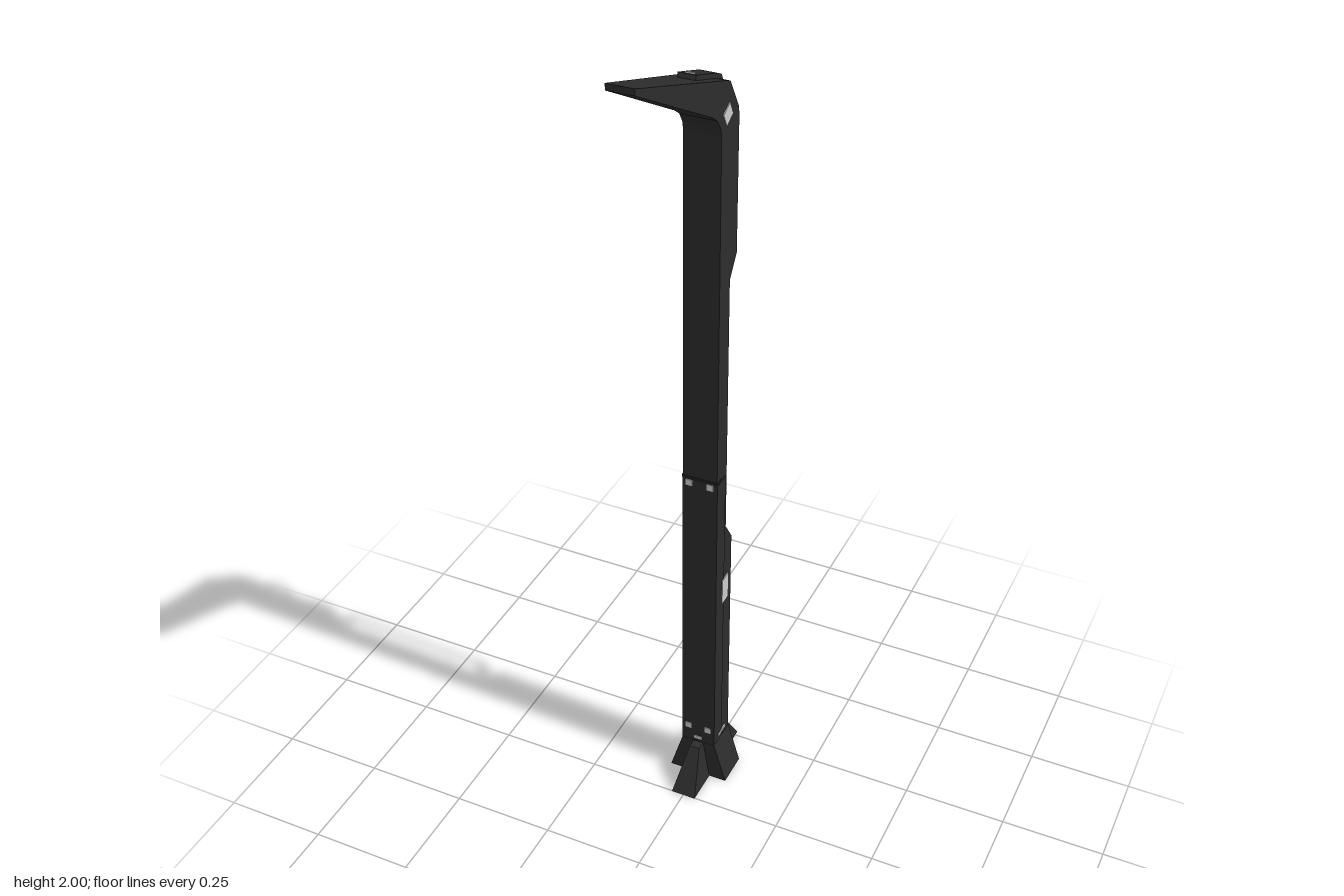
import * as THREE from 'three';

const dark = new THREE.MeshStandardMaterial({ color: 0x2c2c2c });
const strapDark = new THREE.MeshStandardMaterial({ color: 0x222222 });
const pale = new THREE.MeshStandardMaterial({ color: 0xcccccc });

export function createModel() {
  const model = new THREE.Group();
  const ZC = -0.131; // middle of the post in z

  const add = (name, geometry, material = dark) => {
    const mesh = new THREE.Mesh(geometry, material);
    mesh.name = name;
    model.add(mesh);
    return mesh;
  };

  // Side outline of [z, y] points, extruded to a width along x
  const slab = (points, width) => {
    const shape = new THREE.Shape(points.map(([z, y]) => new THREE.Vector2(z, y)));
    const g = new THREE.ExtrudeGeometry(shape, { depth: width, bevelEnabled: false });
    return g.translate(0, 0, -width / 2).rotateY(-Math.PI / 2);
  };

  // Thin strip of even thickness that follows a [z, y] path
  const ribbon = (path, thickness, width) => {
    const left = [], right = [];
    path.forEach(([z, y], i) => {
      const a = path[Math.max(i - 1, 0)], b = path[Math.min(i + 1, path.length - 1)];
      const n = new THREE.Vector2(a[1] - b[1], b[0] - a[0]).setLength(thickness / 2);
      left.push([z + n.x, y + n.y]);
      right.unshift([z - n.x, y - n.y]);
    });
    return slab([...left, ...right], width);
  };

  const box = (name, size, position, material = dark, tilt = 0) => {
    const mesh = add(name, new THREE.BoxGeometry(...size), material);
    mesh.position.set(...position);
    mesh.rotation.x = tilt;
    return mesh;
  };

  // Post, elbow and arm in one outline, with the grip recess in the back
  const body = slab([
    [-0.088, 0], [-0.088, 1.76], [-0.083, 1.78], [-0.068, 1.802], [-0.045, 1.818],
    [0.264, 1.986], [0.264, 2.0], [-0.11, 1.87], [-0.127, 1.863], [-0.172, 1.79],
    [-0.174, 1.76], [-0.174, 1.46], [-0.14, 1.41], [-0.14, 0.76], [-0.174, 0.71], [-0.174, 0],
  ], 0.084);
  const p = body.attributes.position;
  for (let i = 0; i < p.count; i++) { // the arm narrows to its tip
    const t = Math.max(0, (p.getZ(i) + 0.088) / 0.352);
    p.setX(i, p.getX(i) * (1 - 0.29 * t));
  }
  body.computeVertexNormals();
  add('postAndArm', body);

  // Slightly thicker lower sleeve
  box('lowerSleeve', [0.087, 0.8, 0.045], [0, 0.51, -0.109]);
  box('sleeveSeam', [0.09, 0.006, 0.02], [0, 0.913, -0.097], strapDark);

  // Raised spine over the elbow
  add('spine', ribbon([[-0.176, 1.71], [-0.176, 1.79], [-0.129, 1.867], [-0.11, 1.875], [-0.014, 1.908]], 0.012, 0.039));

  // Grip bar standing off the recess
  add('gripBar', ribbon([
    [-0.143, 0.73], [-0.152, 0.76], [-0.154, 0.815], [-0.178, 0.838],
    [-0.178, 1.338], [-0.154, 1.362], [-0.154, 1.42], [-0.165, 1.45],
  ], 0.011, 0.026));
  for (let i = 0; i < 5; i++) {
    box('gripPad', [0.042, 0.06, 0.012], [0, 0.882 + i * 0.1065, -0.179]);
    if (i < 4) box('gripMarker', [0.024, 0.018, 0.013], [0, 0.935 + i * 0.1065, -0.1785], pale);
  }
  box('gripFoot', [0.05, 0.03, 0.012], [0, 0.725, -0.169]);

  // Thin bent strap on the upper back
  add('strap', ribbon([
    [-0.174, 1.688], [-0.196, 1.688], [-0.198, 1.66], [-0.178, 1.605],
    [-0.176, 1.54], [-0.186, 1.485], [-0.184, 1.468], [-0.17, 1.455],
  ], 0.004, 0.026), strapDark);
  box('strapClip', [0.016, 0.005, 0.01], [0, 1.691, -0.19], pale);
  box('strapBuckle', [0.054, 0.014, 0.006], [0, 1.47, -0.177], pale);

  // Base: tapered feet front and back, full-width flares at the sides
  for (const s of [1, -1]) {
    const foot = slab([[0, 0], [0.132, 0], [0.066, 0.106], [0, 0.106]], 0.062);
    const fp = foot.attributes.position;
    for (let i = 0; i < fp.count; i++) {
      if (fp.getY(i) > 0.1) fp.setX(i, fp.getX(i) * 0.42);
    }
    foot.computeVertexNormals();
    const footMesh = add(s > 0 ? 'frontFoot' : 'backFoot', foot);
    footMesh.position.z = ZC;
    footMesh.rotation.y = s > 0 ? 0 : Math.PI;

    const flare = add(s > 0 ? 'leftFlare' : 'rightFlare',
      slab([[0, 0], [0.075, 0], [0.043, 0.108], [0, 0.108]], 0.087));
    flare.position.z = ZC;
    flare.rotation.y = s * Math.PI / 2;

    // Pale side plates, paired left and right
    box('sidePanel', [0.004, 0.07, 0.035], [s * 0.043, 0.578, -0.137], pale);
    box('elbowPlate', [0.004, 0.034, 0.034], [s * 0.042, 1.797, -0.116], pale, 0.5);
    box('sideBaseMark', [0.004, 0.008, 0.04], [s * 0.0432, 0.125, ZC], pale);
    for (const y of [0.155, 0.9]) box('frontStud', [0.016, 0.016, 0.004], [s * 0.026, y, -0.0865], pale);
    box('endBaseMark', [0.02, 0.008, 0.004], [0, 0.122, ZC + s * 0.0445], pale);
    box('backDot', [0.008, 0.008, 0.004], [s * 0.013, 0.352, -0.174], pale);
  }

  // Pale plates on the lower back: [width, height, y]
  for (const [w, h, y] of [[0.036, 0.007, 0.522], [0.042, 0.05, 0.48], [0.026, 0.034, 0.415], [0.03, 0.007, 0.335]]) {
    box('backPlate', [w, h, 0.004], [0, y, -0.174], pale);
  }
  box('spineLight', [0.016, 0.004, 0.016], [0, 1.9095, -0.03], pale, -0.33);
  return model;
}
